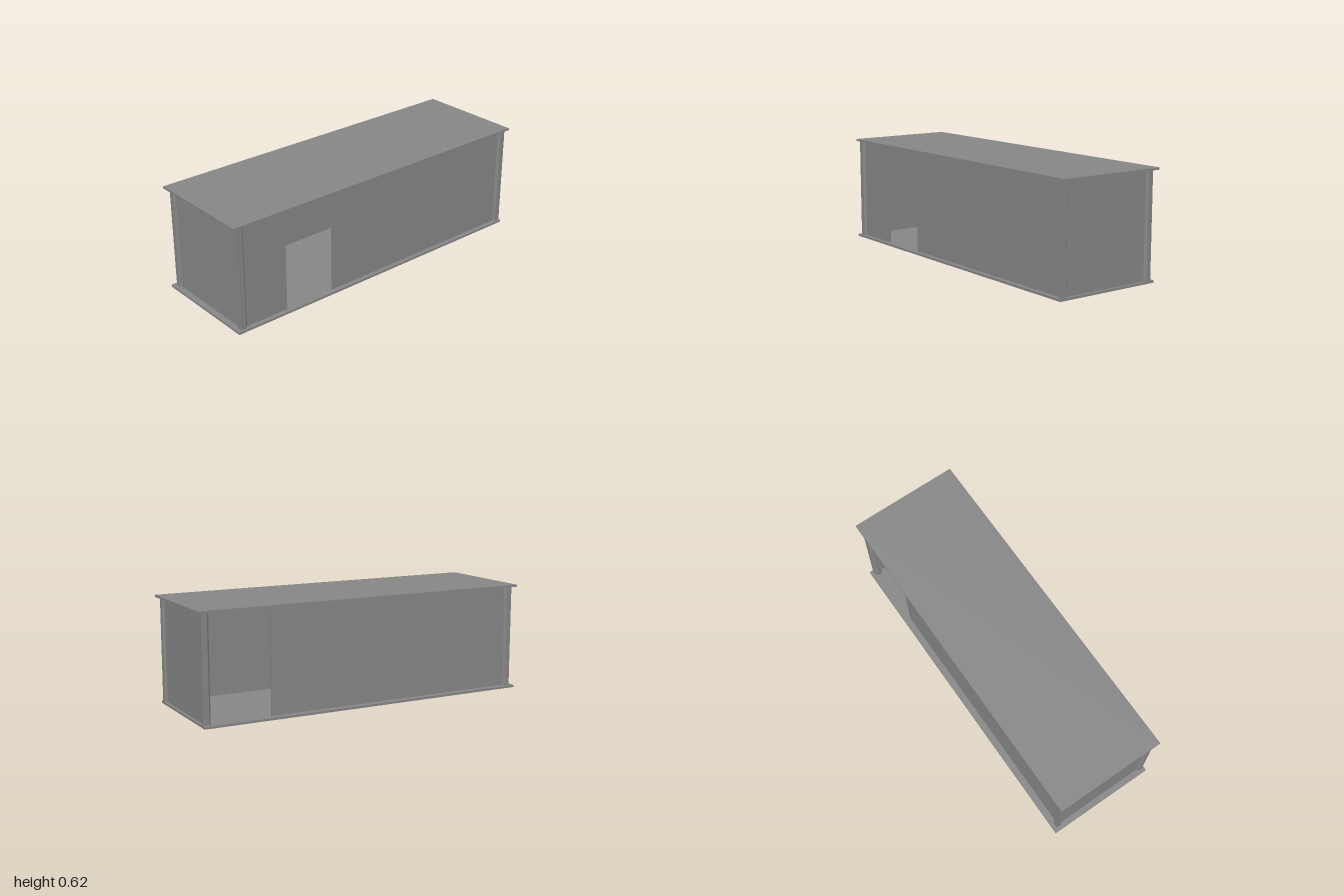
import * as THREE from 'three';

const FLOOR_TOP = 0.013, ROOF_BOTTOM = 0.605, ROOF_TOP = 0.617;

export function createModel() {
  const model = new THREE.Group();
  const material = new THREE.MeshStandardMaterial({ color: 0x868686, flatShading: true });

  // Box given by its extents along each axis
  const slab = (name, [x0, x1], [y0, y1], [z0, z1]) => {
    const mesh = new THREE.Mesh(new THREE.BoxGeometry(x1 - x0, y1 - y0, z1 - z0), material);
    mesh.position.set((x0 + x1) / 2, (y0 + y1) / 2, (z0 + z1) / 2);
    mesh.name = name;
    model.add(mesh);
  };
  const wallHeight = [FLOOR_TOP, ROOF_BOTTOM];

  // Floor and slightly longer roof
  slab('floor', [-0.996, 0.978], [0, FLOOR_TOP], [-0.322, 0.322]);
  slab('roof', [-1, 1], [ROOF_BOTTOM, ROOF_TOP], [-0.322, 0.322]);

  // Thin walls, with a doorway in the front and another at the back corner
  slab('frontWallRight', [-0.945, -0.665], wallHeight, [0.286, 0.297]);
  slab('frontWallLeft', [-0.351, 0.945], wallHeight, [0.286, 0.297]);
  slab('backWall', [-0.945, 0.579], wallHeight, [-0.284, -0.273]);
  slab('leftEndWall', [0.952, 0.963], wallHeight, [-0.28, 0.29]);
  slab('rightEndWall', [-0.963, -0.952], wallHeight, [-0.28, 0.29]);

  // Corner posts, chamfered where they meet the walls
  const profile = [[0, 0], [0.032, 0], [0.044, 0.012], [0.044, 0.039], [0.012, 0.039], [0, 0.028]];
  const addPost = (name, x, z) => {
    const sx = -Math.sign(x), sz = -Math.sign(z);
    // Shape y becomes -z once the extrusion is stood upright
    const points = profile.map(([u, v]) => new THREE.Vector2(x + sx * u, -(z + sz * v)));
    const geometry = new THREE.ExtrudeGeometry(new THREE.Shape(points), {
      depth: ROOF_BOTTOM - FLOOR_TOP, bevelEnabled: false,
    });
    geometry.rotateX(-Math.PI / 2).translate(0, FLOOR_TOP, 0);
    const post = new THREE.Mesh(geometry, material);
    post.name = name;
    model.add(post);
  };
  for (const [side, x] of [['Left', 0.975], ['Right', -0.975]]) {
    addPost('frontPost' + side, x, 0.31);
    addPost('backPost' + side, x, -0.3);
  }

  return model;
}
